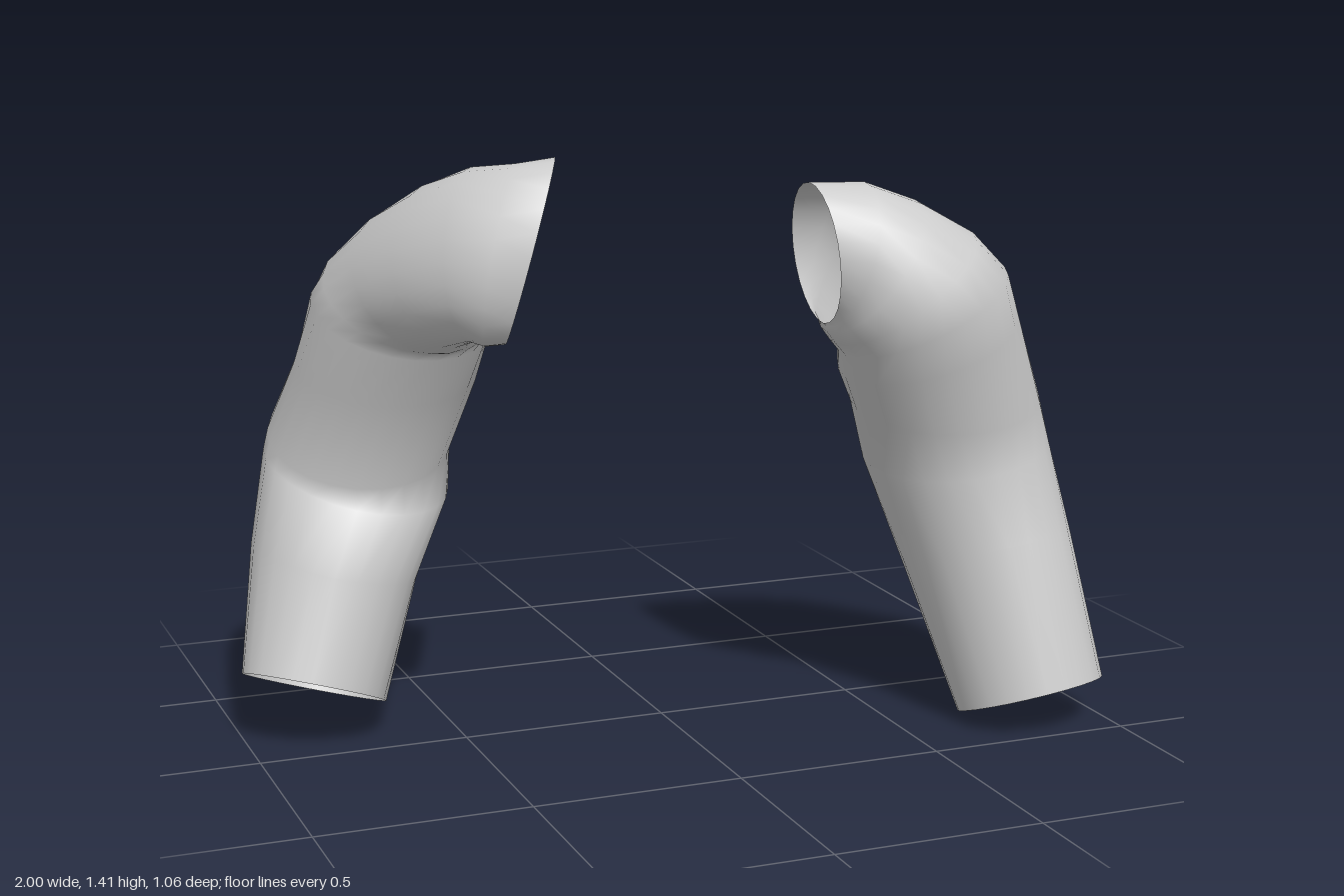
import * as THREE from 'three';

const SIDES = 24;

// Open tube through elliptical rings: [centre, side radius vector, front radius vector]
function loft(rings, material, name) {
  const pos = [], index = [];
  for (const [c, u, v] of rings) {
    for (let j = 0; j < SIDES; j++) {
      const t = (j / SIDES) * Math.PI * 2;
      for (let k = 0; k < 3; k++) pos.push(c[k] + u[k] * Math.cos(t) + v[k] * Math.sin(t));
    }
  }
  for (let i = 0; i < rings.length - 1; i++) {
    for (let j = 0; j < SIDES; j++) {
      const a = i * SIDES + j, b = i * SIDES + (j + 1) % SIDES;
      index.push(a, a + SIDES, b, b, a + SIDES, b + SIDES);
    }
  }
  const geo = new THREE.BufferGeometry();
  geo.setAttribute('position', new THREE.Float32BufferAttribute(pos, 3));
  geo.setIndex(index);
  geo.computeVertexNormals();
  const mesh = new THREE.Mesh(geo, material);
  mesh.name = name;
  return mesh;
}

export function createModel() {
  const group = new THREE.Group();
  group.name = 'sleeves';
  const cloth = new THREE.MeshStandardMaterial({ color: 0xcccccc, side: THREE.DoubleSide });
  cloth.name = 'light grey cloth';

  // Left sleeve, cuff to shoulder opening
  group.add(loft([
    [[0.825, 0.067, 0.36], [0.175, 0.025, 0], [0, 0.058, 0.17]],
    [[0.767, 0.405, 0.23], [0.198, 0.025, 0], [0, 0.065, 0.21]],
    [[0.703, 0.66, 0.172], [0.228, 0.035, 0], [0, -0.03, 0.222]],
    [[0.655, 0.79, 0.205], [0.235, 0.015, 0], [0, -0.05, 0.205]],
    [[0.585, 0.94, 0.245], [0.215, 0.075, 0], [0, -0.025, 0.215]],
    [[0.555, 1.02, 0.268], [0.195, 0.1, 0], [0, 0, 0.218]],
    [[0.495, 1.08, 0.275], [0.165, 0.128, 0], [0, 0, 0.205]],
    [[0.42, 1.13, 0.27], [0.11, 0.15, 0], [0, 0, 0.18]],
    [[0.355, 1.16, 0.265], [0.045, 0.167, 0], [0, 0, 0.155]],
    [[0.285, 1.165, 0.255], [-0.02, 0.165, 0], [0, 0, 0.13]],
  ], cloth, 'leftSleeve'));

  // Right sleeve, cuff to shoulder opening, bending forward above the elbow
  group.add(loft([
    [[-0.83, 0.122, -0.155], [0.17, -0.055, 0], [0, 0.05, 0.17]],
    [[-0.75, 0.405, -0.25], [0.195, -0.05, 0], [0, 0, 0.215]],
    [[-0.68, 0.62, -0.285], [0.22, -0.04, 0], [0, -0.065, 0.225]],
    [[-0.66, 0.69, -0.33], [0.22, 0, 0], [0, -0.09, 0.2]],
    [[-0.62, 0.875, -0.215], [0.217, 0, 0], [0, -0.055, 0.215]],
    [[-0.595, 1.015, -0.16], [0.215, -0.01, -0.05], [0.03, -0.085, 0.19]],
    [[-0.585, 1.06, -0.12], [0.2, 0, -0.05], [0.04, -0.11, 0.18]],
    [[-0.57, 1.11, -0.04], [0.18, 0, -0.06], [0.02, -0.155, 0.12]],
    [[-0.555, 1.16, 0.075], [0.145, 0, -0.08], [0, -0.18, 0.07]],
    [[-0.52, 1.195, 0.18], [0.1, 0, -0.1], [-0.01, -0.19, 0.04]],
    [[-0.48, 1.2, 0.25], [0.06, 0, -0.12], [-0.04, -0.2, 0.01]],
    [[-0.42, 1.21, 0.28], [0.03, 0, -0.1], [-0.06, -0.205, 0]],
  ], cloth, 'rightSleeve'));

  return group;
}
